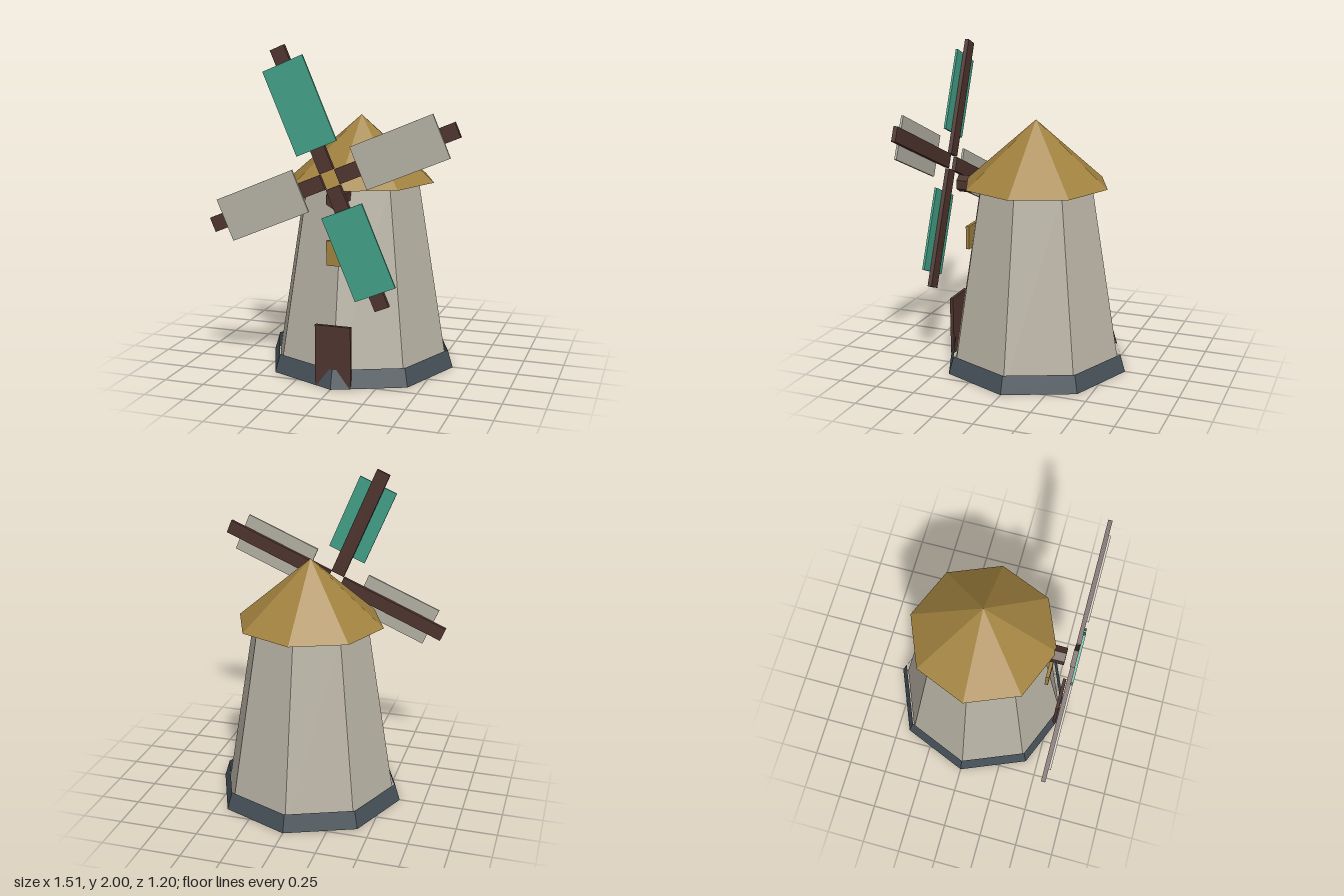
import * as THREE from 'three';

const material = (name, color, open = false) => {
  const m = new THREE.MeshStandardMaterial({ color, flatShading: true });
  m.name = name;
  if (open) m.side = THREE.DoubleSide;
  return m;
};

export function createModel() {
  const stone = material('pale stone', 0xb8b2a4, true);
  const slate = material('slate', 0x465158, true);
  const straw = material('straw gold', 0xa1823f, true);
  const wood = material('dark wood', 0x4e342e);
  const cloth = material('pale cloth', 0xb5b2a5);
  const teal = material('teal cloth', 0x42a188);

  const model = new THREE.Group();
  model.name = 'windmill';

  const add = (parent, name, geometry, mat, x, y, z) => {
    const mesh = new THREE.Mesh(geometry, mat);
    mesh.name = name;
    mesh.position.set(x, y, z);
    parent.add(mesh);
    return mesh;
  };

  // Open eight-sided shell between two heights
  const shell = (name, rTop, rBottom, y0, y1, mat) =>
    add(model, name, new THREE.CylinderGeometry(rTop, rBottom, y1 - y0, 8, 1, true), mat, 0, (y0 + y1) / 2, 0);

  shell('plinth', 0.562, 0.596, 0, 0.11, slate);
  shell('tower', 0.367, 0.558, 0, 1.16, stone);
  add(model, 'roof', new THREE.ConeGeometry(0.462, 0.4, 8, 1, true), straw, 0, 1.36, 0);

  // Door and window on the front corner
  add(model, 'door', new THREE.BoxGeometry(0.22, 0.375, 0.022), wood, 0, 0.1875, 0.542);
  add(model, 'window', new THREE.BoxGeometry(0.146, 0.15, 0.022), straw, 0, 0.785, 0.438);

  // Six-sided axle
  const axle = add(model, 'axle', new THREE.CylinderGeometry(0.055, 0.055, 0.2, 6), wood, 0, 1.12, 0.42);
  axle.rotation.x = Math.PI / 2;

  // Four blades, alternating cloth colours
  const rotor = new THREE.Group();
  rotor.name = 'sails';
  rotor.position.set(0, 1.25, 0);
  rotor.rotation.z = 0.4;
  model.add(rotor);
  const sparShape = new THREE.BoxGeometry(0.09, 0.75, 0.026);
  const sailShape = new THREE.BoxGeometry(0.26, 0.515, 0.014);
  for (let i = 0; i < 4; i++) {
    const blade = new THREE.Group();
    blade.name = 'blade';
    blade.rotation.z = (i * Math.PI) / 2;
    add(blade, 'spar', sparShape, wood, 0, 0.423, 0.575);
    add(blade, 'sail', sailShape, i % 2 ? cloth : teal, 0, 0.447, 0.594);
    rotor.add(blade);
  }

  return model;
}
